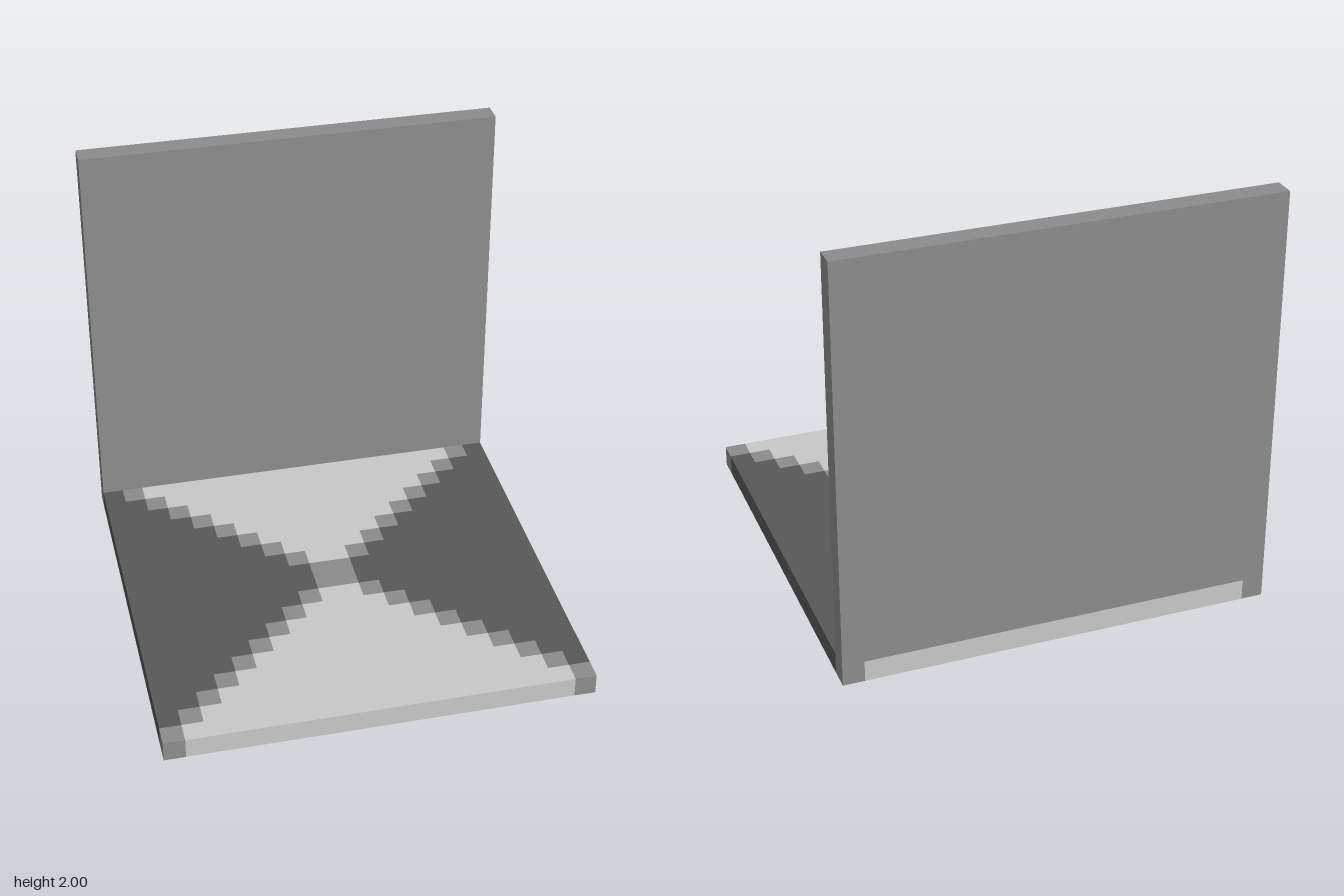
import * as THREE from 'three';
import { mergeGeometries } from 'three/addons/utils/BufferGeometryUtils.js';

const CELL = 0.1; // tile size and slab thickness
const STEPS = 10; // tiles from the centre to the edge

// Stepped triangle widening from the centre towards +z
function steppedPanel() {
  const right = [];
  for (let k = 1; k < STEPS; k++) {
    right.push([k * CELL, k * CELL], [k * CELL, (k + 1) * CELL]);
  }
  const left = right.map(([x, z]) => [-x, z]).reverse();
  const shape = new THREE.Shape([...right, ...left].map(([x, z]) => new THREE.Vector2(x, z)));
  return new THREE.ExtrudeGeometry(shape, { depth: CELL, bevelEnabled: false })
    .rotateX(Math.PI / 2)
    .translate(0, CELL, 0);
}

// Tiles along both diagonals of the floor
function diagonalTiles() {
  const tiles = [];
  for (let k = 0; k < STEPS; k++) {
    const d = (k + 0.5) * CELL;
    for (const sx of [-1, 1]) {
      for (const sz of [-1, 1]) {
        tiles.push(new THREE.BoxGeometry(CELL, CELL, CELL).translate(sx * d, CELL / 2, sz * d));
      }
    }
  }
  return mergeGeometries(tiles);
}

export function createModel() {
  const material = (name, color) => new THREE.MeshStandardMaterial({ name, color });
  const light = material('lightGrey', 0xc8c8c8);
  const mid = material('midGrey', 0x8c8c8c);
  const dark = material('darkGrey', 0x585858);

  const model = new THREE.Group();
  model.name = 'floorAndWall';
  const add = (name, geometry, mat, parent = model) => {
    const mesh = new THREE.Mesh(geometry, mat);
    mesh.name = name;
    parent.add(mesh);
    return mesh;
  };

  // Floor: four stepped panels separated by the diagonals
  const floor = new THREE.Group();
  floor.name = 'floor';
  model.add(floor);
  const panel = steppedPanel();
  ['frontPanel', 'leftPanel', 'backPanel', 'rightPanel'].forEach((name, i) => {
    add(name, panel, i % 2 ? dark : light, floor).rotation.y = i * Math.PI / 2;
  });
  add('diagonalTiles', diagonalTiles(), mid, floor);

  // Upright wall standing on the back edge of the floor
  add('backWall', new THREE.BoxGeometry(2, 1.9, CELL), mid).position.set(0, 1.05, -0.95);

  return model;
}
